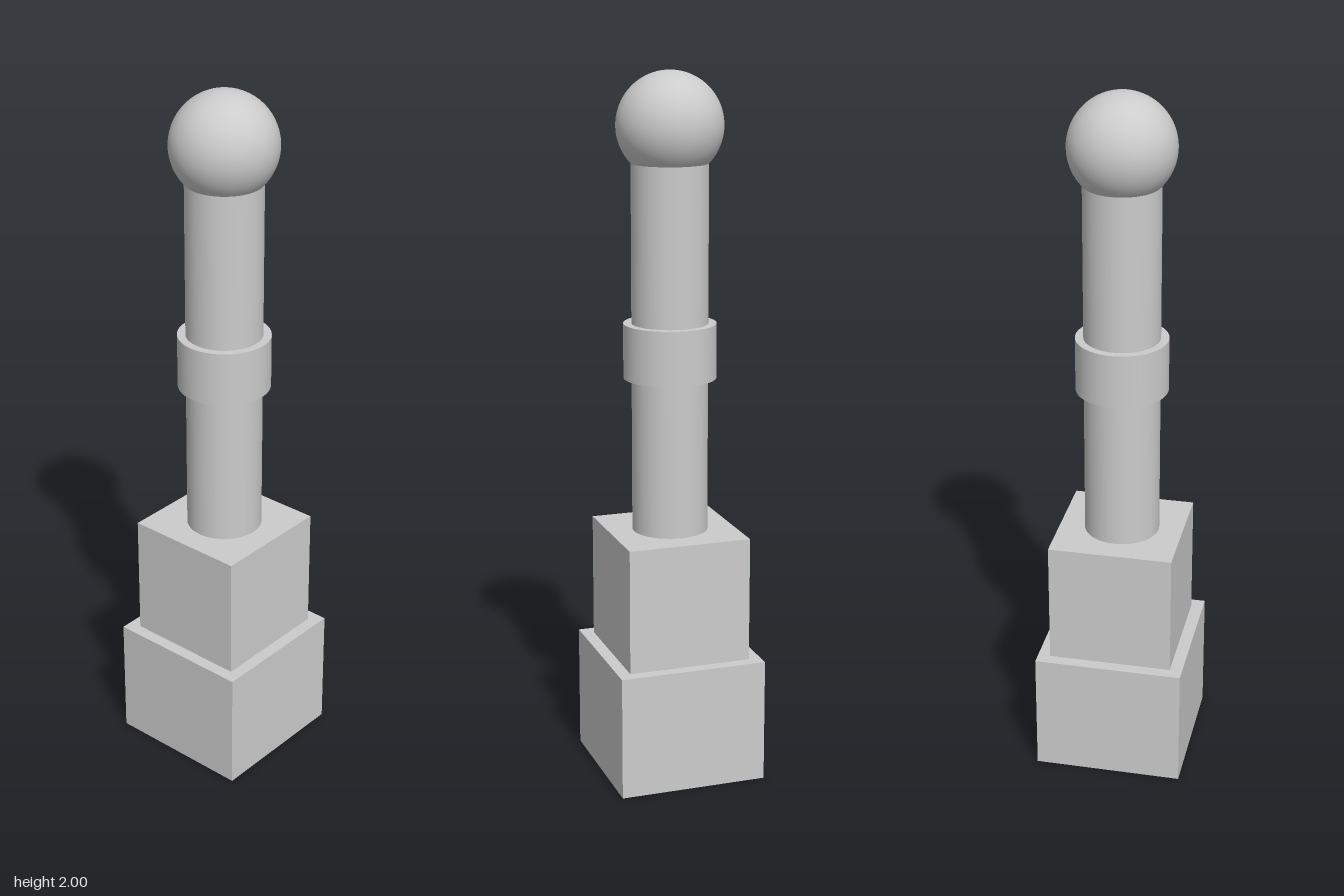
import * as THREE from 'three';

export function createModel() {
  const group = new THREE.Group();
  const material = new THREE.MeshStandardMaterial({ color: 0xcccccc });

  const add = (name, geometry, y) => {
    const mesh = new THREE.Mesh(geometry, material);
    mesh.name = name;
    mesh.position.y = y;
    group.add(mesh);
  };

  // Square block standing between two heights
  const block = (name, width, bottom, top) =>
    add(name, new THREE.BoxGeometry(width, top - bottom, width), (bottom + top) / 2);

  // Round section between two heights
  const round = (name, radius, bottom, top) =>
    add(name, new THREE.CylinderGeometry(radius, radius, top - bottom, 64), (bottom + top) / 2);

  // Stepped plinth
  block('lowerPlinth', 0.425, 0, 0.355);
  block('upperPlinth', 0.354, 0.355, 0.713);

  // Post with its collar
  round('post', 0.107, 0.713, 1.85);
  round('collar', 0.13, 1.153, 1.308);

  // Ball finial
  add('ballFinial', new THREE.SphereGeometry(0.148, 64, 40), 1.852);

  return group;
}
